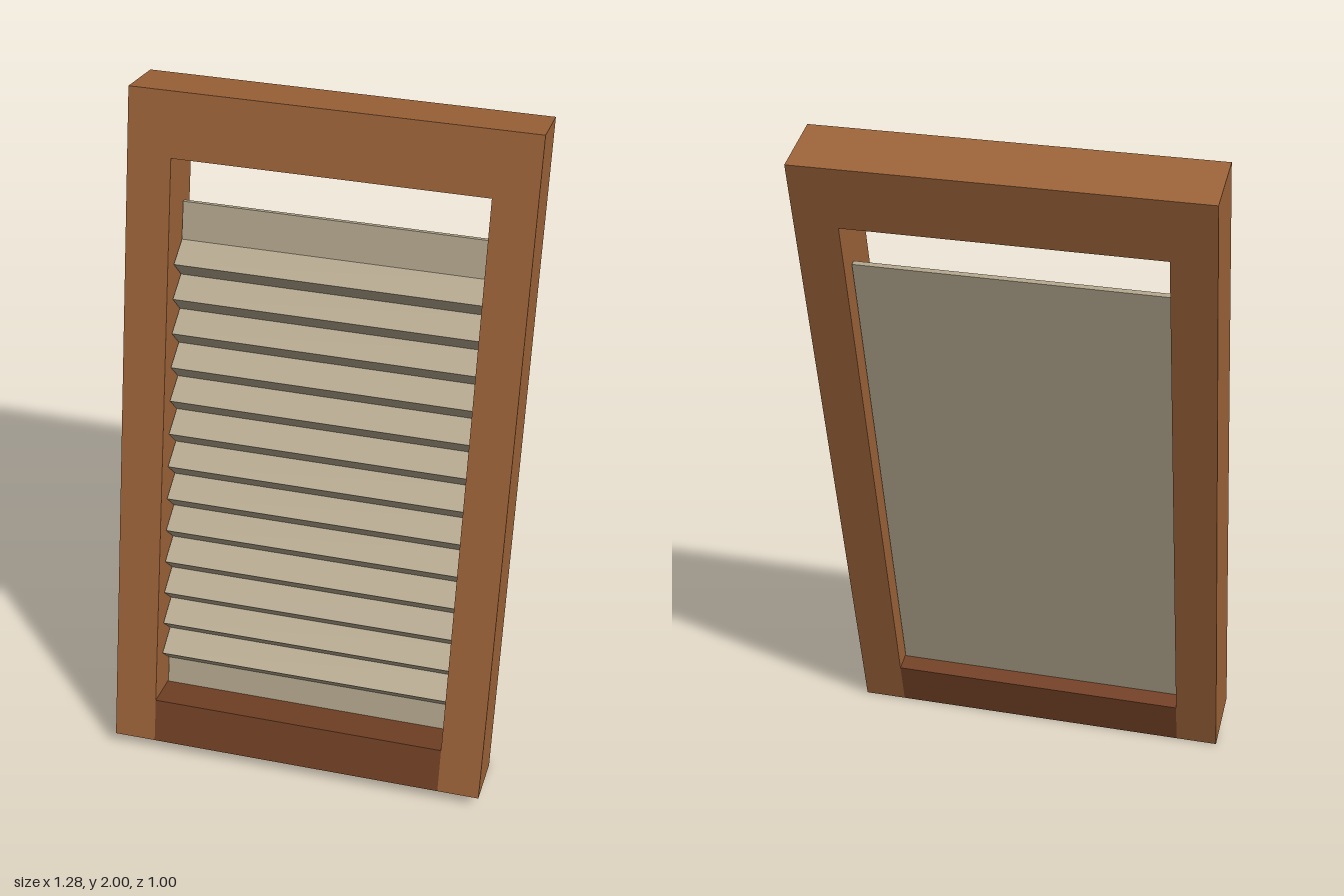
import * as THREE from 'three';

const W = 1.12, H = 2.01, D = 0.19;            // outer frame size
const STILE = 0.123, TOP = 0.185, BOTTOM = 0.14; // frame member widths

export function createModel() {
  const wood = new THREE.MeshStandardMaterial({ color: 0x9c6339 });
  wood.name = 'wood';
  const darkWood = new THREE.MeshStandardMaterial({ color: 0x734125 });
  darkWood.name = 'dark wood';
  const metal = new THREE.MeshStandardMaterial({ color: 0xb3a68d });
  metal.name = 'metal';

  const board = new THREE.Group();
  board.name = 'washboard';
  const addBox = (name, material, w, h, x, y) => {
    const mesh = new THREE.Mesh(new THREE.BoxGeometry(w, h, D), material);
    mesh.name = name;
    mesh.position.set(x, y, 0);
    board.add(mesh);
  };

  // Wooden frame: two stiles, top rail and darker bottom rail
  const inner = W - 2 * STILE;
  addBox('leftStile', wood, STILE, H, (W - STILE) / 2, 0);
  addBox('rightStile', wood, STILE, H, -(W - STILE) / 2, 0);
  addBox('topRail', wood, inner, TOP, 0, (H - TOP) / 2);
  addBox('bottomRail', darkWood, inner, BOTTOM, 0, -(H - BOTTOM) / 2);

  // Ribbed scrubbing plate: zigzag section (x = depth, y = height) swept across the frame
  const back = -0.042, valley = -0.026, ridge = 0.045;
  const topY = 0.665, bottomY = -H / 2 + BOTTOM;
  const ridges = 13, firstRidge = -0.729, pitch = 0.1027;
  const section = new THREE.Shape();
  section.moveTo(back, topY);
  section.lineTo(back, bottomY);
  section.lineTo(valley, bottomY);
  section.lineTo(valley, firstRidge - pitch / 2);
  for (let i = 0; i < ridges; i++) {
    const y = firstRidge + i * pitch;
    section.lineTo(ridge, y);
    section.lineTo(valley, y + pitch / 2);
  }
  section.lineTo(valley, topY);
  section.closePath();

  const plateWidth = inner - 0.004;
  const plateGeometry = new THREE.ExtrudeGeometry(section, { depth: plateWidth, bevelEnabled: false });
  plateGeometry.translate(0, 0, -plateWidth / 2);
  plateGeometry.rotateY(-Math.PI / 2);
  const plate = new THREE.Mesh(plateGeometry, metal);
  plate.name = 'ribbedPlate';
  board.add(plate);

  // Lean back and turn to one side
  board.rotation.set(THREE.MathUtils.degToRad(-13.2), THREE.MathUtils.degToRad(-20.8), 0, 'YXZ');
  board.position.y = 1;

  const model = new THREE.Group();
  model.name = 'leaningWashboard';
  model.add(board);
  return model;
}
